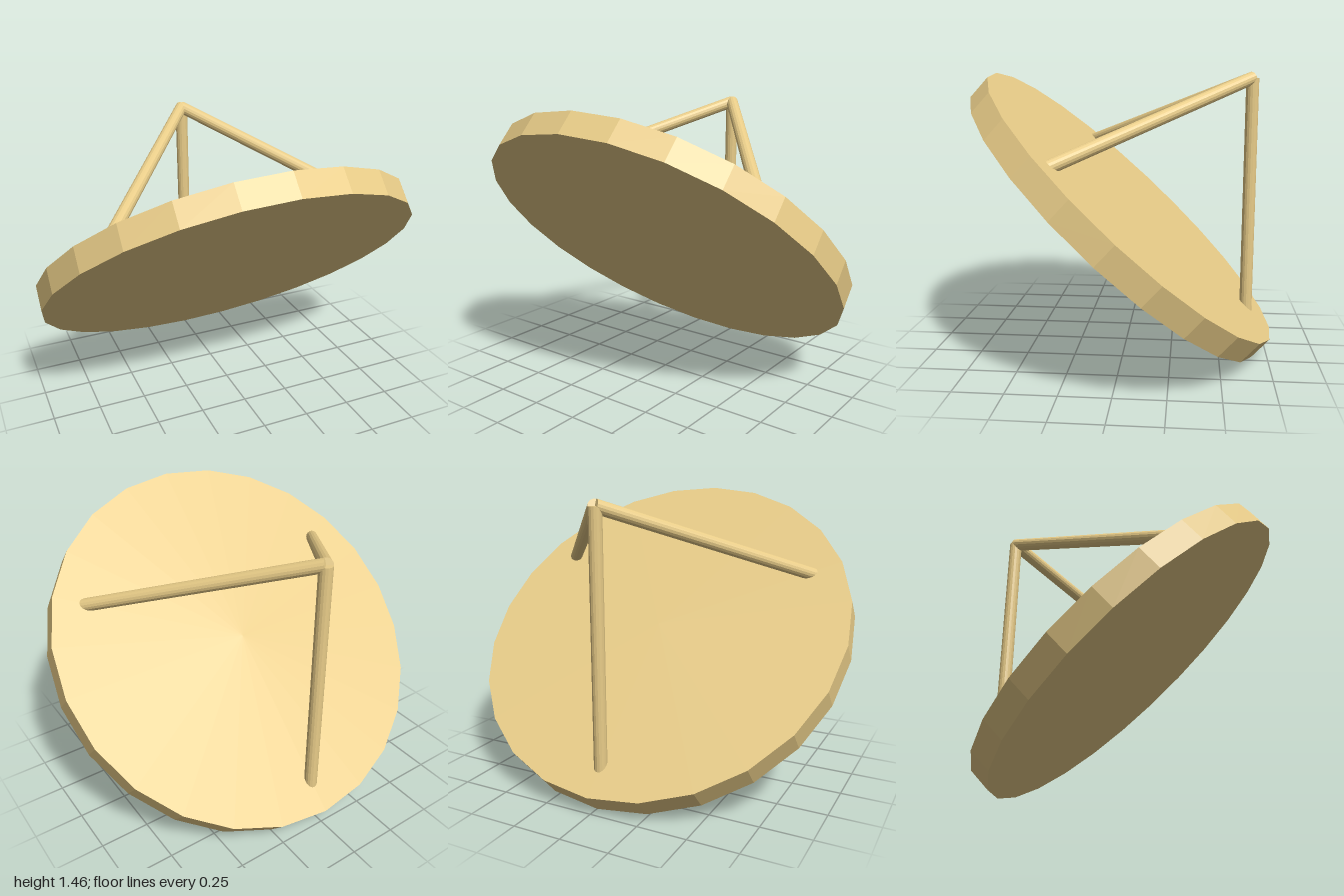
import * as THREE from 'three';

export function createModel() {
  const model = new THREE.Group();
  const material = new THREE.MeshStandardMaterial({ color: 0xe8cc88, flatShading: true });
  const thickness = 0.13;

  // Everything is built upright around the disc, then tipped over as one
  const tilted = new THREE.Group();
  tilted.name = 'tiltedStool';
  tilted.rotation.x = THREE.MathUtils.degToRad(-42.8);
  tilted.position.y = 0.733;
  model.add(tilted);

  // Round 24-sided seat
  const seat = new THREE.Mesh(new THREE.CylinderGeometry(1, 1, thickness, 24), material);
  seat.name = 'seat';
  tilted.add(seat);

  // Three legs spread evenly from a shared apex, feet sunk slightly into the seat
  const apex = new THREE.Vector3(0, 0.955, 0);
  const up = new THREE.Vector3(0, 1, 0);
  ['backLeg', 'leftLeg', 'rightLeg'].forEach((name, i) => {
    const angle = Math.PI + i * Math.PI * 2 / 3;
    const foot = new THREE.Vector3(0.865 * Math.sin(angle), 0.02, 0.865 * Math.cos(angle));
    const span = apex.clone().sub(foot);
    const leg = new THREE.Mesh(new THREE.CylinderGeometry(0.033, 0.033, span.length(), 16), material);
    leg.name = name;
    leg.position.copy(foot).add(apex).multiplyScalar(0.5);
    leg.quaternion.setFromUnitVectors(up, span.normalize());
    tilted.add(leg);
  });

  return model;
}
